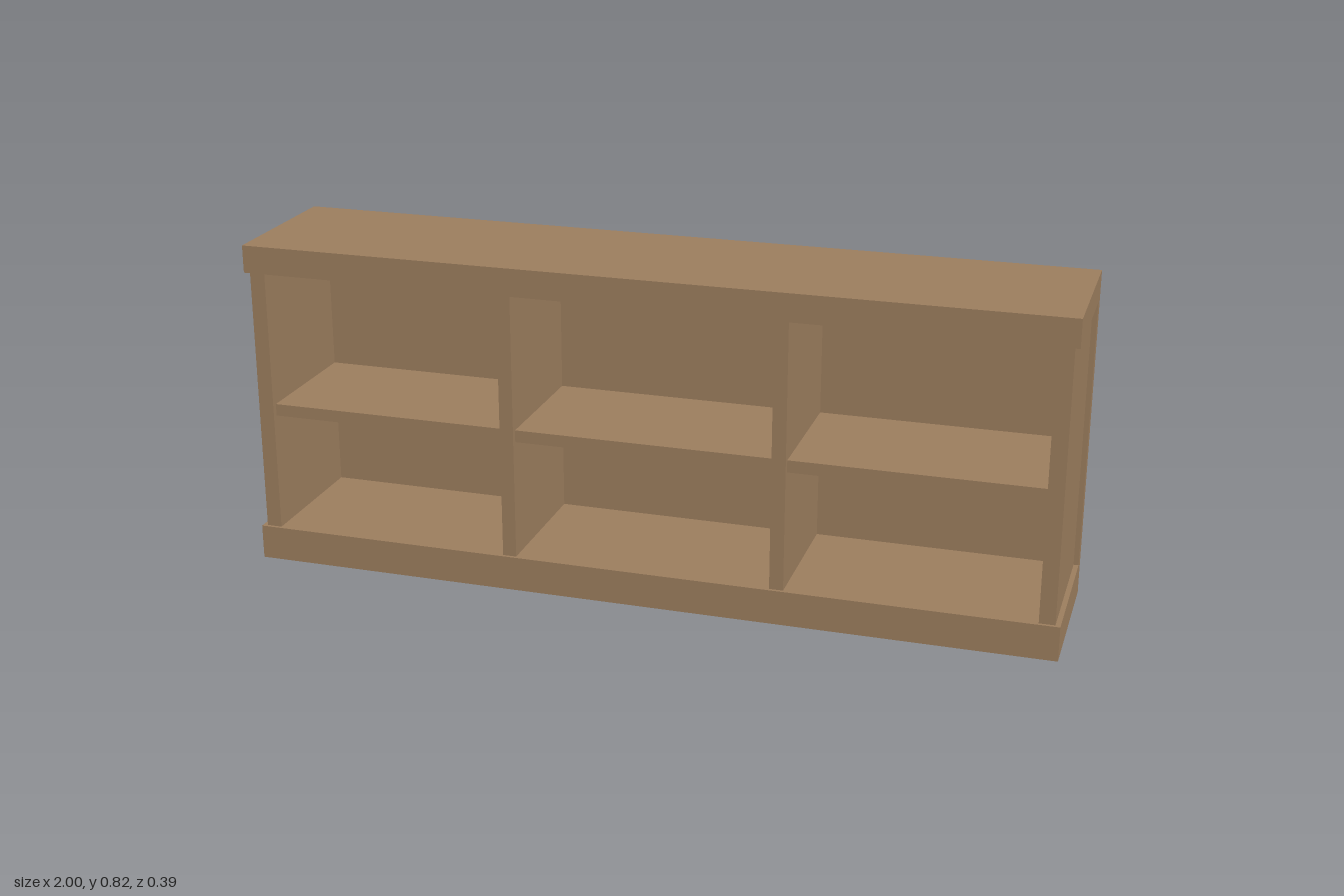
import * as THREE from 'three';

const wood = new THREE.MeshStandardMaterial({ color: 0x9c7e5e });

// Box given by its lower and upper limits on each axis
function board(name, [x0, x1], [y0, y1], [z0, z1]) {
  const mesh = new THREE.Mesh(new THREE.BoxGeometry(x1 - x0, y1 - y0, z1 - z0), wood);
  mesh.position.set((x0 + x1) / 2, (y0 + y1) / 2, (z0 + z1) / 2);
  mesh.name = name;
  return mesh;
}

export function createModel() {
  const group = new THREE.Group();
  group.name = 'bookcase';

  const depth = 0.196, height = 0.818;
  const floorY = 0.086, ceilingY = 0.75, backZ = -0.162, panelZ = 0.188, shelfZ = 0.174;

  // Base, back and top: one C-shaped profile (z, y) extruded along the width
  const profile = new THREE.Shape([
    [-depth, 0], [depth, 0], [depth, floorY], [backZ, floorY],
    [backZ, ceilingY], [depth, ceilingY], [depth, height], [-depth, height],
  ].map(([z, y]) => new THREE.Vector2(z, y)));
  const shell = new THREE.ExtrudeGeometry(profile, { depth: 2, bevelEnabled: false });
  shell.translate(0, 0, -1).rotateY(-Math.PI / 2);
  const carcass = new THREE.Mesh(shell, wood);
  carcass.name = 'baseBackAndTop';
  group.add(carcass);

  // Upright panels, from right (-x) to left (+x)
  const uprights = [
    ['rightSide', -0.988, -0.95],
    ['rightDivider', -0.352, -0.318],
    ['leftDivider', 0.318, 0.352],
    ['leftSide', 0.95, 0.988],
  ];
  for (const [name, x0, x1] of uprights) {
    group.add(board(name, [x0, x1], [floorY, ceilingY], [backZ, panelZ]));
  }

  // One slightly recessed shelf in each bay
  ['rightShelf', 'middleShelf', 'leftShelf'].forEach((name, i) => {
    group.add(board(name, [uprights[i][2], uprights[i + 1][1]], [0.38, 0.41], [backZ, shelfZ]));
  });

  return group;
}
